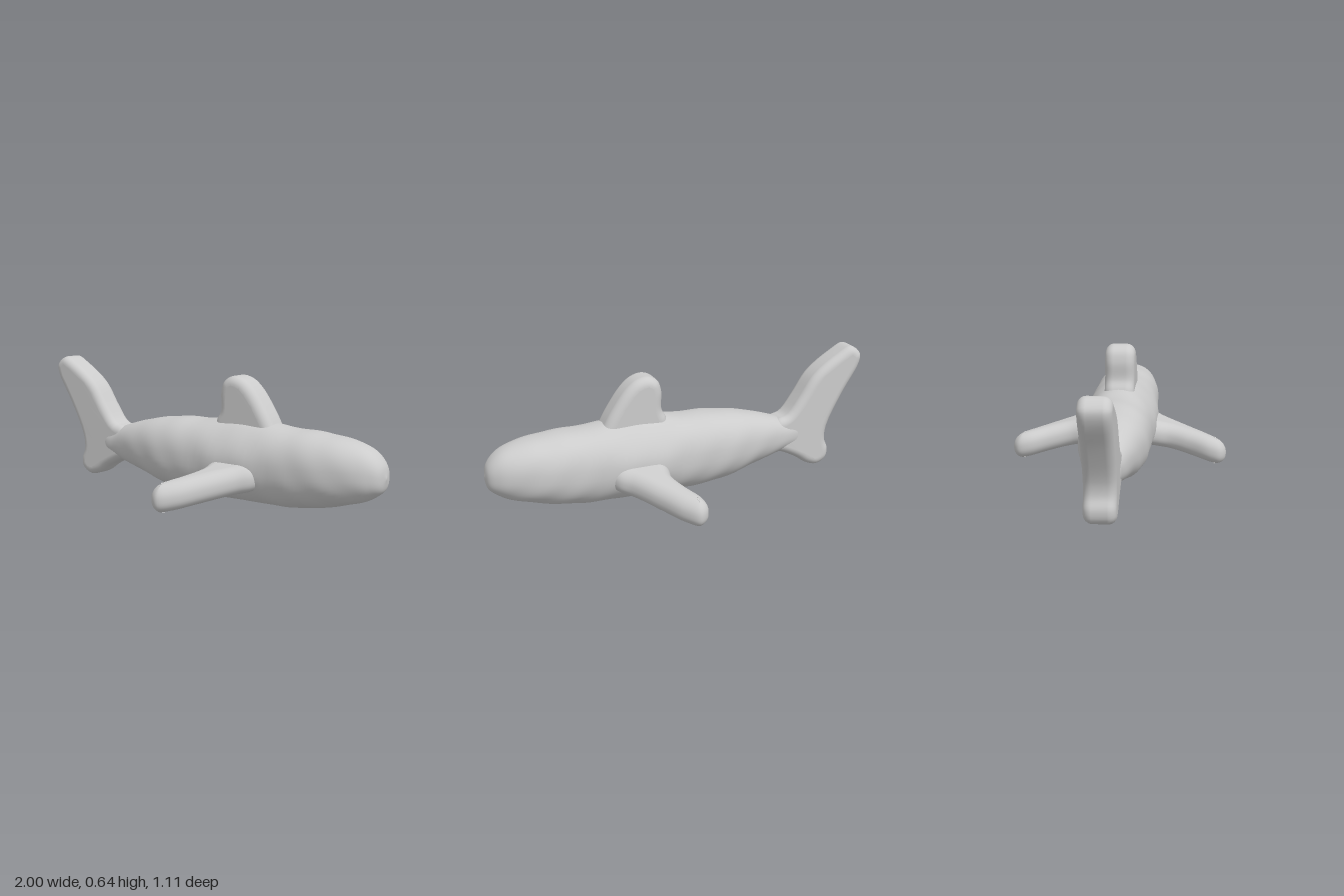
import * as THREE from 'three';
import { mergeVertices } from 'three/addons/utils/BufferGeometryUtils.js';

const material = new THREE.MeshStandardMaterial({ color: 0xcccccc });

// Body stations from nose to tail root: x, bottom, top, half width
const STATIONS = [
  [1.0, 0.18, 0.19, 0.003], [0.985, 0.125, 0.245, 0.055], [0.95, 0.095, 0.288, 0.09],
  [0.9, 0.068, 0.32, 0.118], [0.8, 0.038, 0.346, 0.15], [0.7, 0.016, 0.36, 0.168],
  [0.55, -0.006, 0.368, 0.176], [0.25, -0.01, 0.372, 0.178], [-0.05, -0.006, 0.372, 0.178],
  [-0.2, 0.012, 0.365, 0.172], [-0.3, 0.036, 0.35, 0.155], [-0.4, 0.066, 0.33, 0.132],
  [-0.5, 0.09, 0.3, 0.105], [-0.57, 0.105, 0.28, 0.085], [-0.66, 0.12, 0.27, 0.066],
  [-0.72, 0.19, 0.2, 0.003],
];

function bodyGeometry(rings = 110, sides = 56) {
  const heights = new THREE.CatmullRomCurve3(STATIONS.map(([x, b, t]) => new THREE.Vector3(x, b, t)));
  const widths = new THREE.CatmullRomCurve3(STATIONS.map(([x, , , w]) => new THREE.Vector3(x, w, 0)));
  const positions = [], index = [];
  const round = (v) => Math.sign(v) * Math.abs(v) ** 0.88;
  for (let i = 0; i <= rings; i++) {
    const { x, y: bottom, z: top } = heights.getPoint(i / rings);
    const half = widths.getPoint(i / rings).y;
    const mid = (bottom + top) / 2;
    const swell = Math.exp(-(((x - 0.25) / 0.17) ** 4)); // fin roots
    for (let j = 0; j < sides; j++) {
      const a = (j / sides) * Math.PI * 2;
      const c = Math.cos(a), s = Math.sin(a);
      const ripple = 1 + 0.008 * Math.sin(34 * x + 3 * Math.abs(c) + 5 * s) * Math.min(1, half * 8);
      const up = swell * 0.022 * Math.max(0, s) ** 8;
      const out = swell * 0.014 * Math.max(0, Math.cos(a) ** 2) ** 4;
      const y = mid + round(s) * ((top - bottom) / 2) * ripple + up;
      positions.push(x, Math.max(0, y), round(c) * half * ripple + Math.sign(c) * out);
    }
  }
  for (let i = 0; i < rings; i++) {
    for (let j = 0; j < sides; j++) {
      const k = (j + 1) % sides;
      const a = i * sides + j, b = i * sides + k;
      index.push(a, b, a + sides, b, b + sides, a + sides);
    }
  }
  // End caps
  for (let j = 1; j < sides - 1; j++) {
    const e = rings * sides;
    index.push(0, j + 1, j, e, e + j, e + j + 1);
  }
  const g = new THREE.BufferGeometry();
  g.setAttribute('position', new THREE.Float32BufferAttribute(positions, 3));
  g.setIndex(index);
  g.computeVertexNormals();
  return g;
}

// Thick, soft-edged fin from a smooth closed outline, centred on z = 0
function finGeometry(points, thickness, bevel) {
  const curve = new THREE.CatmullRomCurve3(points.map(([x, y]) => new THREE.Vector3(x, y, 0)), true);
  const outline = curve.getPoints(72).slice(0, -1).map((p) => new THREE.Vector2(p.x, p.y));
  const depth = thickness - 2 * bevel;
  const g = new THREE.ExtrudeGeometry(new THREE.Shape(outline), {
    depth, bevelEnabled: true, bevelThickness: bevel, bevelSize: bevel, bevelOffset: -bevel, bevelSegments: 8,
  });
  g.translate(0, 0, -depth / 2);
  g.deleteAttribute('normal');
  g.deleteAttribute('uv');
  const smooth = mergeVertices(g, 1e-4);
  smooth.computeVertexNormals();
  return smooth;
}

function addPart(group, name, geometry) {
  const mesh = new THREE.Mesh(geometry, material);
  mesh.name = name;
  group.add(mesh);
  return mesh;
}

export function createModel() {
  const model = new THREE.Group();
  model.name = 'shark';
  addPart(model, 'body', bodyGeometry());

  addPart(model, 'dorsalFin', finGeometry([
    [0.45, 0.28], [0.41, 0.38], [0.37, 0.45], [0.3, 0.545], [0.245, 0.588], [0.185, 0.6],
    [0.135, 0.575], [0.115, 0.52], [0.115, 0.43], [0.09, 0.38], [0.08, 0.28], [0.25, 0.24],
  ], 0.152, 0.045));

  addPart(model, 'tailFin', finGeometry([
    [-0.46, 0.2], [-0.49, 0.125], [-0.56, 0.1], [-0.64, 0.06], [-0.7, 0.02], [-0.76, 0.004],
    [-0.815, 0.035], [-0.826, 0.09], [-0.806, 0.145], [-0.815, 0.22], [-0.9, 0.39], [-0.99, 0.54],
    [-0.995, 0.595], [-0.94, 0.636], [-0.87, 0.605], [-0.73, 0.505], [-0.65, 0.39],
    [-0.58, 0.302], [-0.52, 0.28],
  ], 0.15, 0.04));

  // Pectoral fins: outline in (x, z), laid flat and sloping down outwards
  const outline = [
    [0.43, 0.1], [0.4, 0.19], [0.345, 0.25], [0.26, 0.38], [0.18, 0.5], [0.115, 0.553],
    [0.067, 0.525], [0.065, 0.465], [0.11, 0.36], [0.14, 0.26], [0.13, 0.19], [0.12, 0.1], [0.27, 0.06],
  ];
  for (const [name, side] of [['pectoralFinRight', 1], ['pectoralFinLeft', -1]]) {
    const g = finGeometry(outline.map(([x, z]) => [x, z * side]), 0.136, 0.062);
    g.rotateX(Math.PI / 2);
    const p = g.attributes.position;
    for (let i = 0; i < p.count; i++) {
      p.setY(i, p.getY(i) + 0.168 - 0.2 * Math.abs(p.getZ(i)));
    }
    g.computeVertexNormals();
    addPart(model, name, g);
  }
  return model;
}
